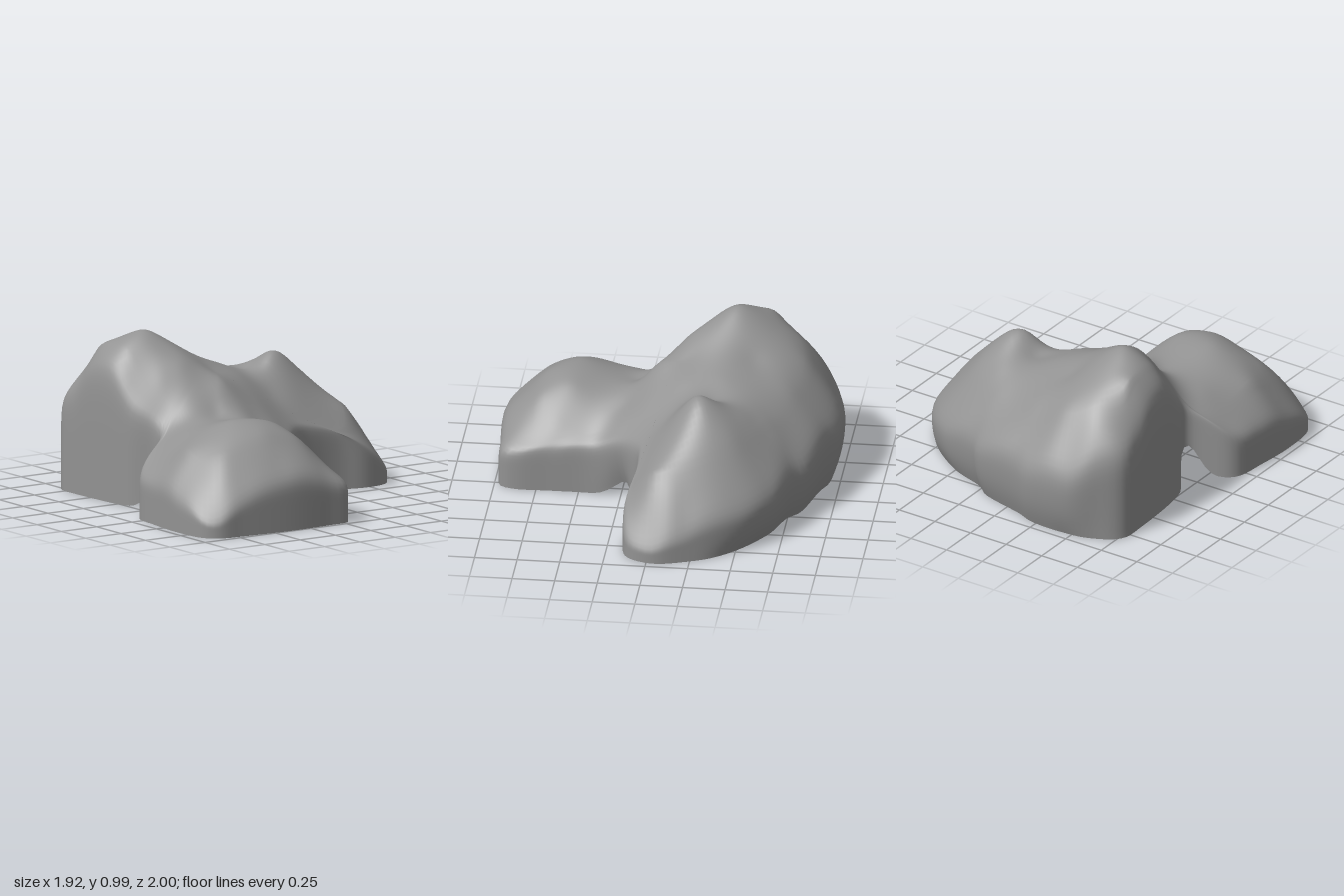
import * as THREE from 'three';
import { mergeVertices } from 'three/addons/utils/BufferGeometryUtils.js';

// Ground outline, seen from above: x, z, shoulder height
const OUTLINE = [
  [-0.5, -1, 0.41], [-0.22, -1, 0.4], [-0.1, -0.955, 0.41], [0.22, -0.865, 0.36], [0.3, -0.8, 0.36],
  [0.56, -0.7, 0.31], [0.75, -0.54, 0.28], [0.915, -0.22, 0.18], [0.958, -0.03, 0.1], [0.895, 0.115, 0.12],
  [0.73, 0.16, 0.25], [0.55, 0.125, 0.35], [0.4, 0.12, 0.39], [0.27, 0.14, 0.41], [0.14, 0.26, 0.38],
  [0.08, 0.42, 0.31], [0.072, 0.65, 0.28], [0.072, 0.88, 0.25], [0.035, 0.965, 0.25], [-0.1, 0.98, 0.28],
  [-0.36, 0.995, 0.33], [-0.7, 0.975, 0.23], [-0.87, 0.95, 0.11], [-0.935, 0.88, 0.12], [-0.96, 0.65, 0.21],
  [-0.94, 0.4, 0.26], [-0.9, 0.18, 0.28], [-0.65, 0.02, 0.47], [-0.745, -0.18, 0.62], [-0.785, -0.65, 0.62],
  [-0.775, -0.8, 0.57], [-0.66, -0.91, 0.52],
];

// Crests, saddles and slopes: x, z, height
const RELIEF = [
  // tall rear boulder
  [-0.48, -0.37, 1], [-0.6, -0.5, 0.94], [-0.48, -0.6, 0.89], [-0.68, -0.3, 0.86], [-0.35, -0.8, 0.71],
  [-0.57, -0.8, 0.72], [-0.2, -0.5, 0.79], [-0.1, -0.72, 0.66], [0, -0.35, 0.76], [0.1, -0.6, 0.65],
  [-0.2, -0.1, 0.78], [-0.4, -0.1, 0.84], [-0.56, -0.1, 0.74], [-0.36, -0.9, 0.58], [-0.69, -0.57, 0.87],
  // side peak and its long slope
  [0.18, -0.3, 0.71], [0.31, -0.22, 0.8], [0.39, -0.25, 0.79], [0.3, -0.5, 0.67], [0.5, -0.45, 0.61],
  [0.55, -0.2, 0.64], [0.7, -0.2, 0.49], [0.42, -0.02, 0.55], [0.2, -0.05, 0.61], [0.72, 0, 0.44],
  [0.25, -0.7, 0.52], [0, -0.1, 0.72], [0.82, -0.12, 0.35],
  // neck between the boulders
  [-0.24, 0.07, 0.72], [-0.35, 0.17, 0.57], [0, 0.1, 0.59], [-0.1, 0.25, 0.51], [-0.65, 0.22, 0.48],
  [0.04, 0.25, 0.45],
  // low front boulder
  [-0.4, 0.31, 0.56], [-0.5, 0.55, 0.605], [-0.35, 0.6, 0.605], [-0.22, 0.58, 0.57], [-0.65, 0.5, 0.54],
  [-0.82, 0.5, 0.43], [-0.4, 0.75, 0.55], [-0.72, 0.78, 0.42], [-0.18, 0.78, 0.49], [-0.1, 0.5, 0.47],
  [-0.01, 0.65, 0.38], [-0.4, 0.92, 0.38], [-0.81, 0.87, 0.27],
];

// Gaps at ground level where the boulders meet: x, z, lift of the rim, inward tuck
const GAPS = [[-0.66, 0.03, 0.2, 0], [0.14, 0.25, 0.1, 0.12]];

// Smooth height function passing through all given points (radial basis fit)
function fitHeights(points) {
  const n = points.length;
  const kernel = (x, z, p) => Math.sqrt((x - p[0]) ** 2 + (z - p[1]) ** 2 + 0.002);
  const m = points.map((p) => [...points.map((q) => kernel(p[0], p[1], q)), p[2]]);
  for (let c = 0; c < n; c++) {
    let best = c;
    for (let r = c + 1; r < n; r++) if (Math.abs(m[r][c]) > Math.abs(m[best][c])) best = r;
    [m[c], m[best]] = [m[best], m[c]];
    for (let r = 0; r < n; r++) {
      if (r === c) continue;
      const f = m[r][c] / m[c][c];
      for (let k = c; k <= n; k++) m[r][k] -= f * m[c][k];
    }
  }
  const weights = m.map((row, i) => row[n] / row[i]);
  return (x, z) => points.reduce((sum, p, i) => sum + weights[i] * kernel(x, z, p), 0);
}

function rockShell() {
  const { smoothstep, lerp } = THREE.MathUtils;
  const around = 180, rings = 32, skirt = 10;
  const cx = -0.2, cz = -0.04;
  const height = fitHeights([...OUTLINE, ...RELIEF]);
  const curve = new THREE.CatmullRomCurve3(
    OUTLINE.map(([x, z, y]) => new THREE.Vector3(x, y, z)), true, 'centripetal');
  const edge = curve.getSpacedPoints(around).slice(0, around);
  const rows = [];

  // Upper surface, spreading from the middle to the shoulder
  for (let r = 0; r <= rings; r++) {
    const t = r / rings;
    rows.push(edge.map((e) => {
      const x = cx + (e.x - cx) * t, z = cz + (e.z - cz) * t;
      return new THREE.Vector3(x, height(x, z), z);
    }));
  }
  // Steep side wall, tucked under along the rear and lifted at the gaps
  for (let s = 1; s <= skirt; s++) {
    const t = s / skirt;
    rows.push(edge.map((e) => {
      let rim = 0.015;
      let scale = 1 - 0.065 * t ** 3 * smoothstep(-e.z, 0.3, 0.7) * smoothstep(e.x, -0.75, -0.45);
      for (const [x, z, lift, tuck] of GAPS) {
        const near = Math.exp(-((e.x - x) ** 2 + (e.z - z) ** 2) / 0.009);
        rim += lift * near;
        scale -= tuck * near * t * t;
      }
      const y = lerp(height(e.x, e.z), rim, t);
      return new THREE.Vector3(cx + (e.x - cx) * scale, y, cz + (e.z - cz) * scale);
    }));
  }
  // Weather the shoulder by averaging along each profile
  for (let pass = 0; pass < 5; pass++) {
    const before = rows.map((row) => row.map((p) => p.clone()));
    for (let r = rings - 6; r < rings + skirt; r++) {
      rows[r].forEach((p, i) => p.lerp(
        before[r - 1][i].clone().add(before[r + 1][i]).multiplyScalar(0.5), 0.5));
    }
  }

  const index = [];
  for (let r = 0; r < rings + skirt; r++) {
    for (let i = 0; i < around; i++) {
      const a = r * around + i, b = r * around + (i + 1) % around;
      if (r > 0) index.push(a, b, a + around);
      index.push(b, b + around, a + around);
    }
  }
  const geometry = new THREE.BufferGeometry().setFromPoints(rows.flat());
  geometry.setIndex(index);
  const merged = mergeVertices(geometry);
  merged.computeVertexNormals();
  return merged;
}

export function createModel() {
  const group = new THREE.Group();
  group.name = 'rockFormation';
  const stone = new THREE.MeshStandardMaterial({ color: 0x939393, side: THREE.DoubleSide });
  const rock = new THREE.Mesh(rockShell(), stone);
  rock.name = 'boulders';
  group.add(rock);
  return group;
}
